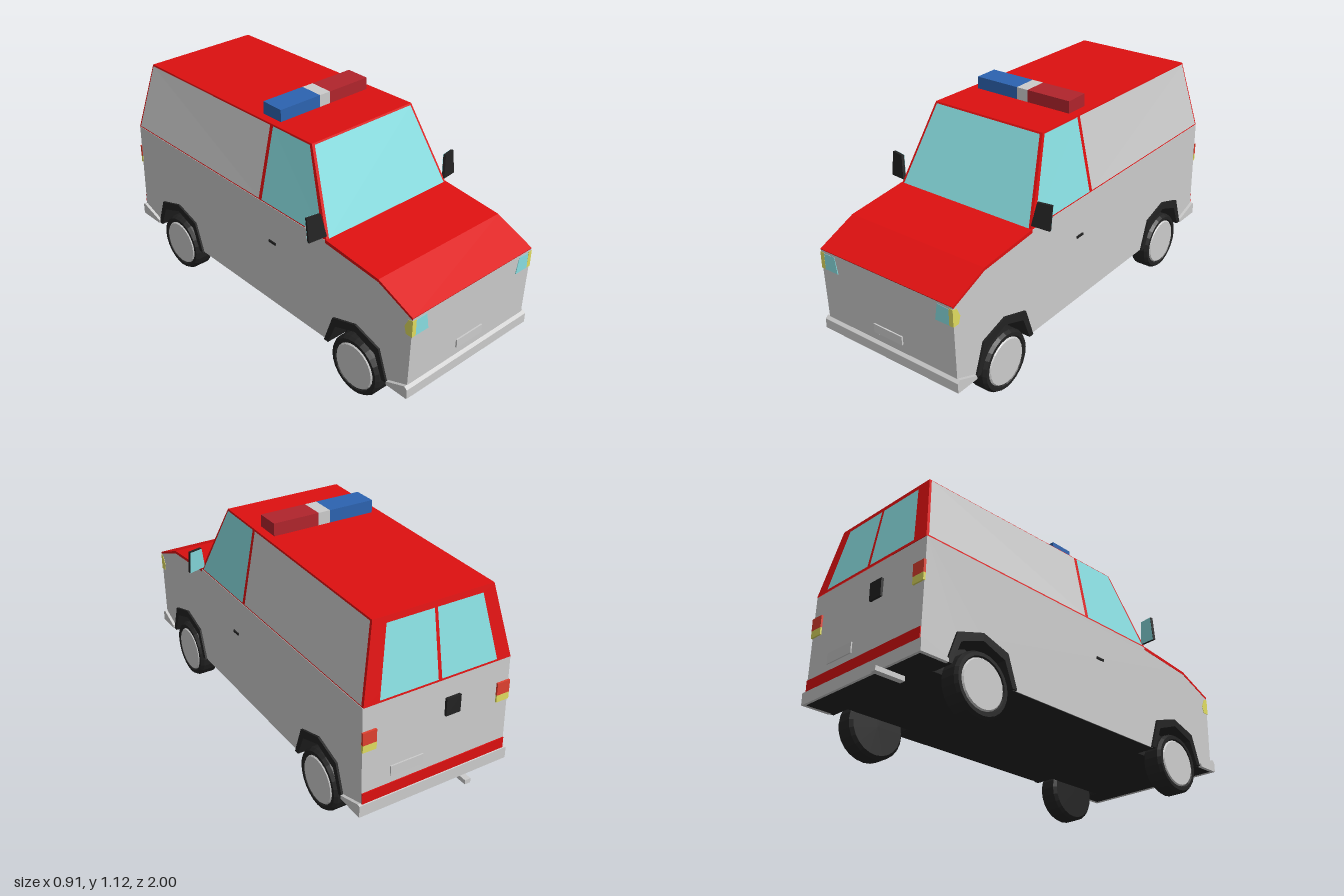
import * as THREE from 'three';

const mat = (color) => new THREE.MeshStandardMaterial({ color, side: THREE.DoubleSide, flatShading: true });

export function createModel() {
  const model = new THREE.Group();
  const grey = mat(0xcccccc), red = mat(0xdd1010), black = mat(0x222222), glass = mat(0x88dde0);
  const blue = mat(0x2c63b0), beaconRed = mat(0xb0242c), amber = mat(0xe0dc60), tailRed = mat(0xe04030);

  function add(name, geometry, material, parent = model) {
    const mesh = new THREE.Mesh(geometry, material);
    mesh.name = name;
    parent.add(mesh);
    return mesh;
  }
  // box given by its limits on each axis
  function box(name, material, [x0, x1], [y0, y1], [z0, z1]) {
    const g = new THREE.BoxGeometry(Math.abs(x1 - x0), y1 - y0, Math.abs(z1 - z0));
    return add(name, g.translate((x0 + x1) / 2, (y0 + y1) / 2, (z0 + z1) / 2), material);
  }
  const shapeOf = (pts) => new THREE.Shape(pts.map(([a, b]) => new THREE.Vector2(a, b)));
  // side profile of [z, y] points, extruded across x
  function profile(name, material, pts, x0, x1) {
    const g = new THREE.ExtrudeGeometry(shapeOf(pts), { depth: x1 - x0, bevelEnabled: false });
    return add(name, g.rotateY(-Math.PI / 2).translate(x1, 0, 0), material);
  }
  // flat polygon in the (u, v) space of a four-cornered face, raised off it
  const full = [[0, 0], [1, 0], [1, 1], [0, 1]];
  function panel(name, material, corners, uv = full, lift = 0) {
    const [a, b, c, d] = corners.map((p) => new THREE.Vector3(...p));
    const n = b.clone().sub(a).cross(d.clone().sub(a)).normalize().multiplyScalar(lift);
    const pts = uv.map(([u, v]) => a.clone().lerp(b, u).lerp(d.clone().lerp(c, u), v).add(n));
    const tris = [];
    for (let i = 1; i < pts.length - 1; i++) tris.push(pts[0], pts[i], pts[i + 1]);
    const g = new THREE.BufferGeometry().setFromPoints(tris);
    g.computeVertexNormals();
    return add(name, g, material);
  }

  // lower body with wheel arch cut-outs
  const axles = [0.68, -0.63];
  const arch = (zc, w, top) => [
    [zc - w, 0.18], [zc - w * 0.73, top - 0.045], [zc, top], [zc + w * 0.73, top - 0.045], [zc + w, 0.18],
  ];
  profile('lowerBody', grey, [
    [0.985, 0.19], [0.997, 0.59], [0.8, 0.67], [0.48, 0.703], [-0.945, 0.703], [-0.955, 0.19],
    ...arch(axles[1], 0.18, 0.355), ...arch(axles[0], 0.18, 0.355),
  ], -0.375, 0.375);
  profile('hood', red, [
    [0.998, 0.59], [0.8, 0.674], [0.48, 0.707], [0.48, 0.69], [0.8, 0.66], [0.995, 0.58],
  ], -0.376, 0.376);

  // underside and sills
  box('floor', black, [-0.28, 0.28], [0.178, 0.2], [-0.95, 0.98]);
  for (const z of [[0.86, 0.98], [-0.45, 0.5], [-0.95, -0.81]]) box('sill', black, [-0.372, 0.372], [0.178, 0.2], z);

  // wheels, arches
  for (const z of axles) {
    profile('wheelWell', black, arch(z, 0.18, 0.355), -0.27, 0.27);
    for (const s of [-1, 1]) {
      const [x0, x1] = s > 0 ? [0.27, 0.385] : [-0.385, -0.27];
      profile('wheelArch', black, [...arch(z, 0.195, 0.375), ...arch(z, 0.168, 0.338).reverse()], x0, x1);
      const wheel = new THREE.Group();
      wheel.name = 'wheel';
      wheel.position.set(s * 0.335, 0.146, z);
      wheel.rotation.z = -s * Math.PI / 2;
      const tyre = [[0, -0.05], [0.132, -0.05], [0.146, -0.036], [0.146, 0.036], [0.136, 0.052], [0.12, 0.052], [0.116, 0.046], [0, 0.046]];
      add('tyre', new THREE.LatheGeometry(tyre.map((p) => new THREE.Vector2(...p)), 24), black, wheel);
      add('hubcap', new THREE.CylinderGeometry(0.108, 0.118, 0.012, 24).translate(0, 0.047, 0), grey, wheel);
      model.add(wheel);
    }
  }

  // cabin: tapered shell with panels laid on each face
  const yb = 0.703, w = 0.373, t = 0.3;
  const low = (x, z) => [x, yb, z], front = (x) => [x, 1.07, 0.31], rear = (x) => [x, 1.045, -0.885];
  const windscreen = [low(-w, 0.485), low(w, 0.485), front(t), front(-t)];
  const back = [low(w, -0.948), low(-w, -0.948), rear(-t), rear(t)];
  panel('cabinFront', red, windscreen);
  panel('cabinBack', red, back);
  panel('roof', red, [front(-t), front(t), rear(t), rear(-t)]);
  panel('windscreen', glass, windscreen, [[0.017, 0.01], [0.983, 0.01], [0.98, 0.98], [0.02, 0.98]], 0.003);
  panel('rearWindow', glass, back, [[0.1, 0.03], [0.488, 0.03], [0.488, 0.92], [0.11, 0.92]], 0.003);
  panel('rearWindow', glass, back, [[0.512, 0.03], [0.9, 0.03], [0.89, 0.92], [0.512, 0.92]], 0.003);
  for (const s of [1, -1]) {
    const side = [low(s * w, 0.485), low(s * w, -0.948), rear(s * t), front(s * t)];
    panel('cabinSide', red, side);
    panel('sideWindow', glass, side, [[0.014, 0.018], [0.302, 0.018], [0.212, 0.982], [0.01, 0.982]], s * 0.003);
    panel('sidePanel', grey, side, [[0.316, 0.018], [0.992, 0.018], [0.992, 0.982], [0.228, 0.982]], s * 0.003);
  }

  // light bar
  box('beaconBlue', blue, [-0.26, -0.03], [1.06, 1.123], [-0.06, 0.06]);
  box('beaconCentre', grey, [-0.03, 0.03], [1.06, 1.123], [-0.06, 0.06]);
  box('beaconRed', beaconRed, [0.03, 0.26], [1.06, 1.123], [-0.06, 0.06]);

  // bumpers with ends that taper back along the sides
  profile('frontBumper', grey, [[1, 0.178], [1, 0.225], [0.985, 0.238], [0.88, 0.195], [0.88, 0.178]], -0.39, 0.39);
  profile('rearBumper', grey, [[-0.963, 0.178], [-0.963, 0.235], [-0.95, 0.238], [-0.82, 0.195], [-0.82, 0.178]], -0.39, 0.39);
  box('rearStripe', red, [-0.374, 0.374], [0.235, 0.29], [-0.958, -0.94]);

  // plates, rear latch, exhaust
  box('frontPlate', grey, [-0.083, 0.08], [0.28, 0.322], [0.97, 0.996]);
  box('rearPlate', grey, [0.07, 0.235], [0.325, 0.375], [-0.958, -0.94]);
  box('rearLatch', black, [-0.11, -0.035], [0.525, 0.61], [-0.96, -0.93]);
  box('exhaust', grey, [-0.165, -0.135], [0.156, 0.178], [-1, -0.85]);

  for (const s of [1, -1]) {
    // headlamp and wrap-around indicator
    const lamp = shapeOf([[0.28, 0.495], [0.355, 0.495], [0.355, 0.572], [0.293, 0.575]].map(([x, y]) => [s * x, y]));
    add('headlamp', new THREE.ExtrudeGeometry(lamp, { depth: 0.02, bevelEnabled: false }).translate(0, 0, 0.978), glass);
    const ends = (a, b) => (s > 0 ? [a, b] : [-b, -a]);
    profile('indicator', amber, [[0.998, 0.495], [0.999, 0.577], [0.975, 0.572], [0.955, 0.53], [0.965, 0.495]], ...ends(0.355, 0.377));

    // tail lamps
    box('tailLampRed', tailRed, [s * 0.31, s * 0.377], [0.53, 0.59], [-0.957, -0.945]);
    box('tailLampAmber', amber, [s * 0.31, s * 0.377], [0.495, 0.53], [-0.957, -0.945]);

    box('doorHandle', black, [s * 0.37, s * 0.381], [0.512, 0.523], [0.1, 0.148]);

    // door mirror, tilted back with glass behind
    const mirror = new THREE.Group();
    mirror.name = 'mirror';
    const outline = shapeOf([[-0.005, 0.005], [0.083, 0], [0.083, 0.116], [0.015, 0.116]].map(([x, y]) => [s * x, y]));
    add('mirrorShell', new THREE.ExtrudeGeometry(outline, { depth: 0.014, bevelEnabled: false }), black, mirror);
    add('mirrorGlass', new THREE.ShapeGeometry(outline).translate(0, 0, -0.002), glass, mirror);
    mirror.position.set(s * 0.37, 0.715, 0.468);
    mirror.rotation.set(-0.12, s * 0.2, 0);
    model.add(mirror);
  }
  return model;
}
